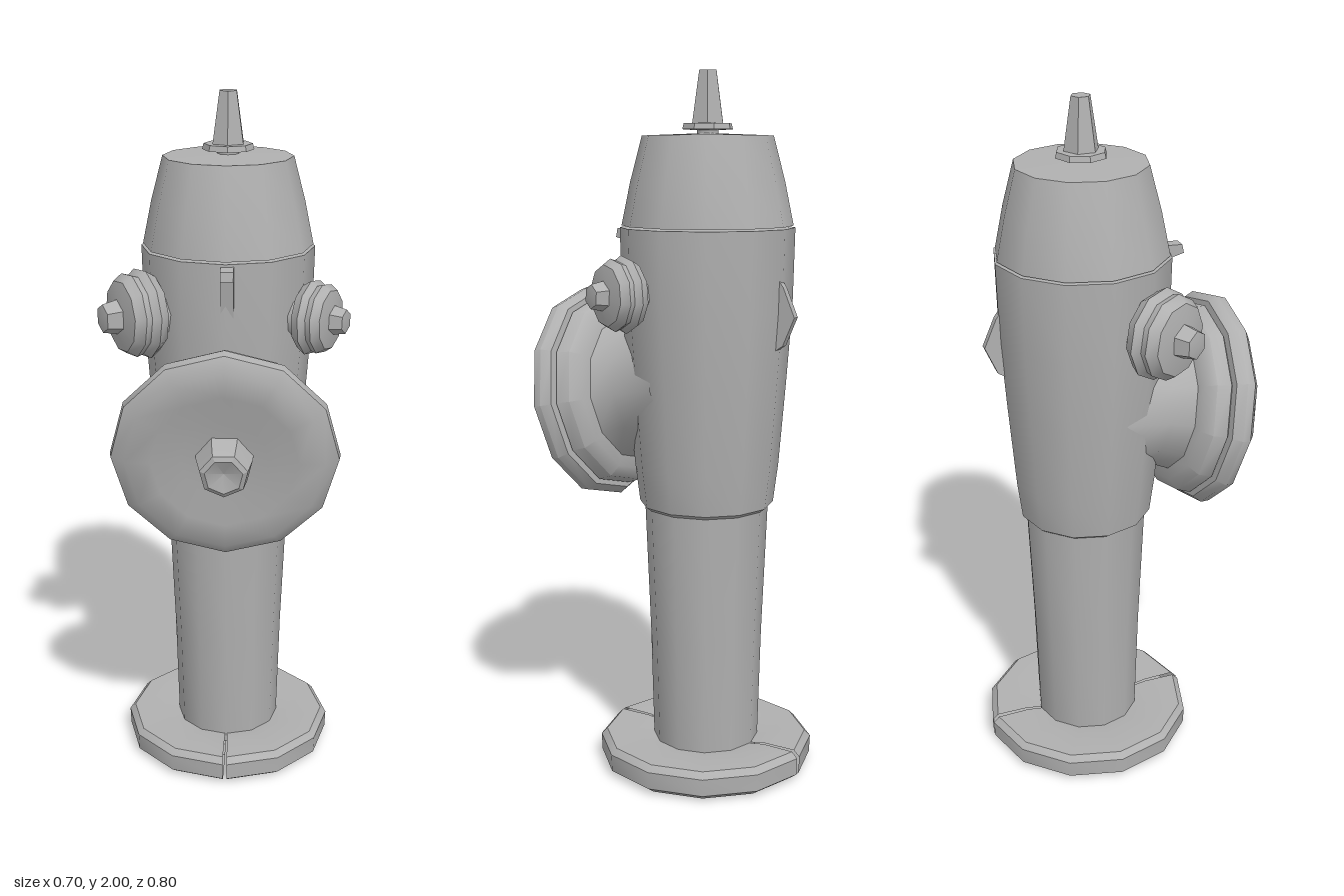
import * as THREE from 'three';
import { toCreasedNormals } from 'three/addons/utils/BufferGeometryUtils.js';

const iron = new THREE.MeshStandardMaterial({ color: 0xb0b0b0, side: THREE.DoubleSide });
iron.name = 'cast iron grey';

const AXIS = { x: 0.005, z: -0.08 };

function addMesh(parent, name, geometry) {
  const mesh = new THREE.Mesh(geometry, iron);
  mesh.name = name;
  parent.add(mesh);
  return mesh;
}

// Turned shape from [radius, height] pairs, listed from bottom to top
function turned(profile, sides, start = 0, sweep = Math.PI * 2, crease = 0.72) {
  const points = profile.map(([r, y]) => new THREE.Vector2(r, y));
  return toCreasedNormals(new THREE.LatheGeometry(points, sides, start, sweep), crease);
}

// Thin fin drawn as [z, y] points, centred on x
function fin(outline, width) {
  const shape = new THREE.Shape(outline.map(([z, y]) => new THREE.Vector2(-z, y)));
  const geometry = new THREE.ExtrudeGeometry(shape, { depth: width, bevelEnabled: false });
  geometry.translate(0, 0, -width / 2);
  geometry.rotateY(Math.PI / 2);
  return geometry;
}

// Group whose local +y points along the outlet direction
function outlet(parent, name, position, direction, scale = 1) {
  const group = new THREE.Group();
  group.name = name;
  group.position.set(...position);
  group.quaternion.setFromUnitVectors(
    new THREE.Vector3(0, 1, 0), new THREE.Vector3(...direction).normalize());
  group.scale.setScalar(scale);
  parent.add(group);
  return group;
}

export function createModel() {
  const model = new THREE.Group();
  model.name = 'fireHydrant';

  const column = new THREE.Group();
  column.name = 'column';
  column.position.set(AXIS.x, 0, AXIS.z);
  model.add(column);

  // Split foot flange with a recessed underside
  const flange = [[0, 0.03], [0.14, 0.03], [0.155, 0], [0.285, 0], [0.31, 0.018],
    [0.312, 0.068], [0.295, 0.085], [0.2, 0.085], [0.14, 0.075]];
  const gap = 0.02;
  for (let i = 0; i < 2; i++) {
    addMesh(column, i ? 'rightFootFlange' : 'leftFootFlange',
      turned(flange, 6, i * Math.PI + gap, Math.PI - 2 * gap));
  }

  // Lower pipe and wider barrel
  addMesh(column, 'lowerPipe', turned([[0.153, 0.05], [0.162, 0.4], [0.178, 0.8]], 12));
  addMesh(column, 'barrel', turned([[0.165, 0.77], [0.192, 0.79], [0.206, 0.9],
    [0.226, 1.15], [0.24, 1.35], [0.245, 1.575], [0, 1.579]], 12));

  // Tapered bonnet and operating nut
  addMesh(column, 'bonnet', turned([[0, 1.577], [0.24, 1.58], [0.215, 1.7],
    [0.182, 1.825], [0, 1.832]], 12));
  addMesh(column, 'nutCollar', turned([[0, 1.838], [0.072, 1.842], [0.068, 1.858], [0, 1.86]], 8));
  addMesh(column, 'operatingNut', turned([[0.05, 1.85], [0.027, 2], [0, 2]], 6));
  addMesh(column, 'bonnetStem', new THREE.CylinderGeometry(0.03, 0.03, 0.03, 8))
    .position.y = 1.84;

  // Small lug under the bonnet at the front, small fin at the back
  const lug = addMesh(model, 'frontLug',
    fin([[0.11, 1.57], [0.21, 1.565], [0.215, 1.54], [0.175, 1.53], [0.155, 1.42], [0.11, 1.4]], 0.035));
  lug.position.x = 0.01;
  const rear = addMesh(model, 'rearFin',
    fin([[-0.3, 1.46], [-0.33, 1.42], [-0.365, 1.34], [-0.33, 1.26], [-0.3, 1.24]], 0.02));
  rear.position.x = 0.01;

  // Large front outlet, its cap leaning forward at the top
  const front = outlet(model, 'frontOutlet', [0.008, 1.08, 0.285], [0, -0.18, 0.98]);
  addMesh(front, 'frontNeck', turned([[0.215, -0.32], [0.195, -0.18], [0.215, -0.1]], 12));
  addMesh(front, 'frontCollar', turned([[0.19, -0.115], [0.245, -0.11], [0.275, -0.085],
    [0.282, -0.045], [0.26, -0.03]], 12));
  addMesh(front, 'frontCap', turned([[0.2, -0.04], [0.295, -0.036], [0.312, -0.01],
    [0.308, 0.015], [0.27, 0.042], [0.2, 0.042], [0.12, 0.028], [0, 0.034]], 12));
  addMesh(front, 'frontCapNut', turned([[0.08, 0.02], [0.078, 0.05], [0.066, 0.105],
    [0.052, 0.112], [0, 0.095]], 7, 0, Math.PI * 2, 0.4));

  // Two smaller side outlets
  const sides = [
    ['rightOutlet', [-0.25, 1.41, 0.065], [-0.87, 0, 0.5], 1],
    ['leftOutlet', [0.262, 1.4, 0.05], [0.9, 0, 0.43], 0.84],
  ];
  for (const [name, position, direction, scale] of sides) {
    const side = outlet(model, name, position, direction, scale);
    addMesh(side, 'sideNeck', turned([[0.085, -0.16], [0.08, -0.04]], 10));
    addMesh(side, 'sideCap', turned([[0.07, -0.06], [0.108, -0.055], [0.127, -0.025],
      [0.112, -0.004], [0.118, 0.015], [0.1, 0.042], [0.05, 0.052], [0, 0.052]], 10));
    addMesh(side, 'sideCapNut', turned([[0.05, 0.045], [0.04, 0.095], [0, 0.102]], 6,
      0, Math.PI * 2, 0.4));
  }

  return model;
}
